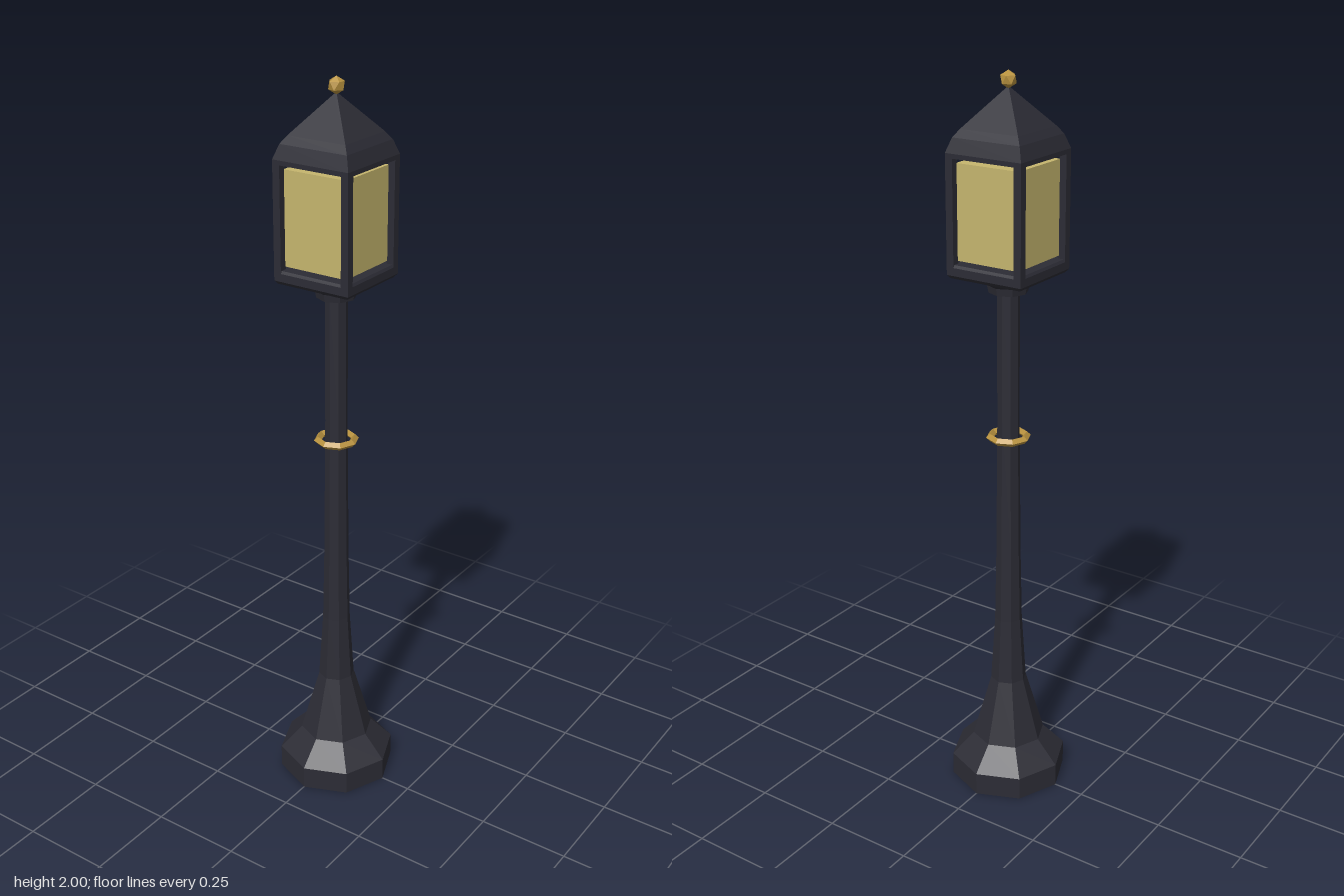
import * as THREE from 'three';

const flat = (name, color, extra = {}) => {
  const m = new THREE.MeshStandardMaterial({ color, flatShading: true, ...extra });
  m.name = name;
  return m;
};

export function createModel() {
  const iron = flat('dark iron', 0x2c2c35);
  const brass = flat('brass', 0xb8923f);
  const glass = flat('warm glass', 0xc6b66e);

  const lamp = new THREE.Group();
  lamp.name = 'streetLamp';

  const add = (name, geometry, material, x = 0, y = 0, z = 0) => {
    const mesh = new THREE.Mesh(geometry, material);
    mesh.name = name;
    mesh.position.set(x, y, z);
    lamp.add(mesh);
    return mesh;
  };

  // faceted solid of revolution, profile given bottom to top as [radius, y]
  const turned = (profile, sides) =>
    new THREE.LatheGeometry(profile.map(([r, y]) => new THREE.Vector2(r, y)), sides);

  // square solid, profile given as [half width, y]
  const square = (profile) =>
    turned(profile.map(([h, y]) => [h * Math.SQRT2, y]), 4).rotateY(Math.PI / 4);

  // octagonal foot and tapering column
  add('column', turned([
    [0, 0], [0.163, 0], [0.163, 0.065], [0.102, 0.13], [0.05, 0.31],
    [0.038, 0.5], [0.034, 0.7], [0.03, 1.1], [0.03, 1.46],
  ], 8), iron);

  // brass ring around the column
  add('columnRing', new THREE.TorusGeometry(0.05, 0.0105, 4, 8).rotateX(Math.PI / 2), brass, 0, 1.045, 0);

  // collar under the lantern
  add('collar', turned([
    [0, 1.445], [0.052, 1.445], [0.056, 1.465], [0.07, 1.475], [0.074, 1.495], [0, 1.495],
  ], 8), iron);

  // lantern floor with a chamfered lower edge
  add('lanternFloor', square([
    [0, 1.488], [0.105, 1.488], [0.112, 1.497], [0.112, 1.518], [0.108, 1.525], [0, 1.525],
  ]), iron);

  // corner posts
  for (const x of [-1, 1]) {
    for (const z of [-1, 1]) {
      add('cornerPost', new THREE.BoxGeometry(0.021, 0.29, 0.021), iron, x * 0.1015, 1.66, z * 0.1015);
    }
  }

  // glass body, leaving narrow vents above and below
  add('lanternGlass', new THREE.BoxGeometry(0.186, 0.247, 0.186), glass, 0, 1.656, 0);

  // curved square roof
  add('roof', square([
    [0, 1.793], [0.112, 1.793], [0.112, 1.805], [0.099, 1.842], [0.085, 1.862], [0.004, 1.957], [0, 1.957],
  ]), iron);

  // finial ball, standing on one corner
  const ball = new THREE.IcosahedronGeometry(0.0225, 0).rotateZ(Math.atan(2 / (1 + Math.sqrt(5))));
  add('finial', ball, brass, 0, 1.9775, 0);

  return lamp;
}
